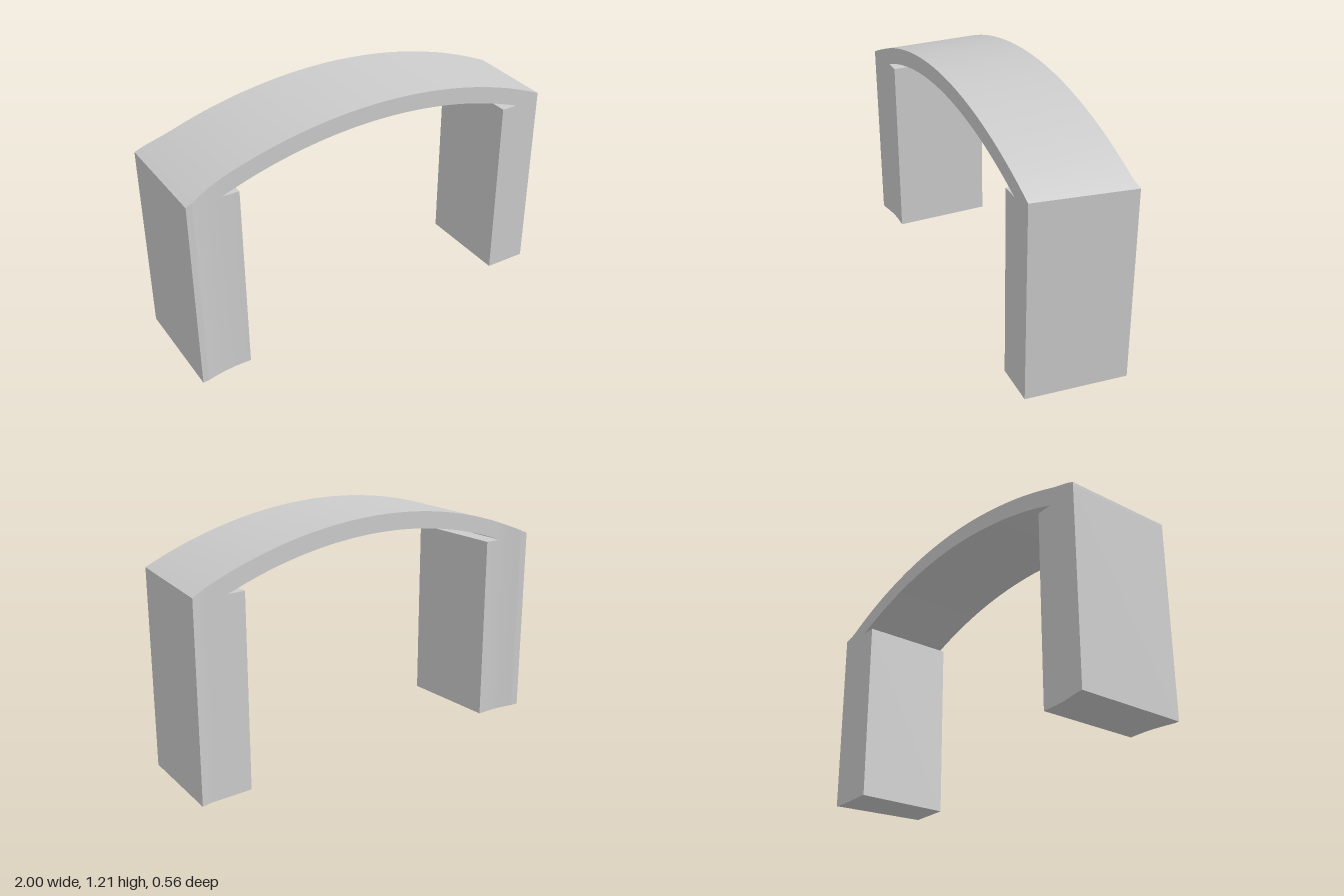
import * as THREE from 'three';
import { toCreasedNormals } from 'three/addons/utils/BufferGeometryUtils.js';

// Plan outline: [x, z] along the front and back edges
const FRONT = [[-1, 0.28], [-0.97, 0.279], [-0.93, 0.27], [-0.88, 0.262], [-0.82, 0.257], [0, 0.268], [0.955, 0.28]];
const BACK = [[-1, -0.285], [-0.96, -0.281], [-0.92, -0.272], [-0.87, -0.262], [-0.82, -0.257], [-0.4, -0.244],
  [0, -0.236], [0.95, -0.214], [1, -0.223]];
const POST_TOP = 0.97, SPRING = 0.82, INNER = 0.735;

function lookup(points, x) {
  for (let i = 1; i < points.length; i++) {
    const [x0, z0] = points[i - 1], [x1, z1] = points[i];
    if (x <= x1) return z0 + (z1 - z0) * Math.max(0, (x - x0) / (x1 - x0));
  }
  return points[points.length - 1][1];
}

// Circular arc with its crown at x = 0
const arc = (crown, radius) => (x) => crown - radius + Math.sqrt(radius * radius - x * x);
const outerArc = arc(1.208, 2.36);
const innerArc = arc(1.123, 2.27);
const soffit = (x) => (Math.abs(x) >= SPRING ? POST_TOP : Math.max(POST_TOP, innerArc(x)));

// The right end is skewed, so the front edge stops short of the back edge
const frontX = (x) => (x > SPRING ? SPRING + (x - SPRING) * 0.75 : x);

// Loft four-cornered sections along x between a bottom and a top curve
function loft(name, stations, bottom, top, material) {
  const rings = stations.map((x) => {
    const f = frontX(x), zf = lookup(FRONT, f), zb = lookup(BACK, x);
    return [[f, bottom(f), zf], [x, bottom(x), zb], [x, top(x), zb], [f, top(f), zf]];
  });
  const pos = [];
  const quad = (a, b, c, d) => pos.push(...a, ...b, ...c, ...a, ...c, ...d);
  for (let i = 0; i < rings.length - 1; i++) {
    const r = rings[i], s = rings[i + 1];
    for (let k = 0; k < 4; k++) quad(r[k], r[(k + 1) % 4], s[(k + 1) % 4], s[k]);
  }
  const a = rings[0], b = rings[rings.length - 1];
  quad(a[0], a[3], a[2], a[1]);
  quad(b[0], b[1], b[2], b[3]);
  const geometry = new THREE.BufferGeometry();
  geometry.setAttribute('position', new THREE.Float32BufferAttribute(pos, 3));
  const mesh = new THREE.Mesh(toCreasedNormals(geometry, 0.12), material);
  mesh.name = name;
  return mesh;
}

export function createModel() {
  const group = new THREE.Group();
  group.name = 'archBridge';
  const material = new THREE.MeshStandardMaterial({ color: 0xcccccc });

  // Stations: the flared end outline, then even steps over the span
  const flare = [-1, -0.97, -0.96, -0.93, -0.92, -0.88, -0.87, -SPRING];
  const ends = flare.map((x) => -x).reverse();
  const span = Array.from({ length: 47 }, (_, i) => -SPRING + (2 * SPRING * (i + 1)) / 48);

  // Curved deck
  group.add(loft('archDeck', [...flare, ...span, ...ends], soffit, outerArc, material));

  // Posts, each with a ledge reaching in under the deck
  const ground = () => 0, ledge = () => POST_TOP;
  group.add(loft('rightPost', [...flare, -INNER], ground, ledge, material));
  group.add(loft('leftPost', [INNER, ...ends], ground, ledge, material));
  return group;
}
